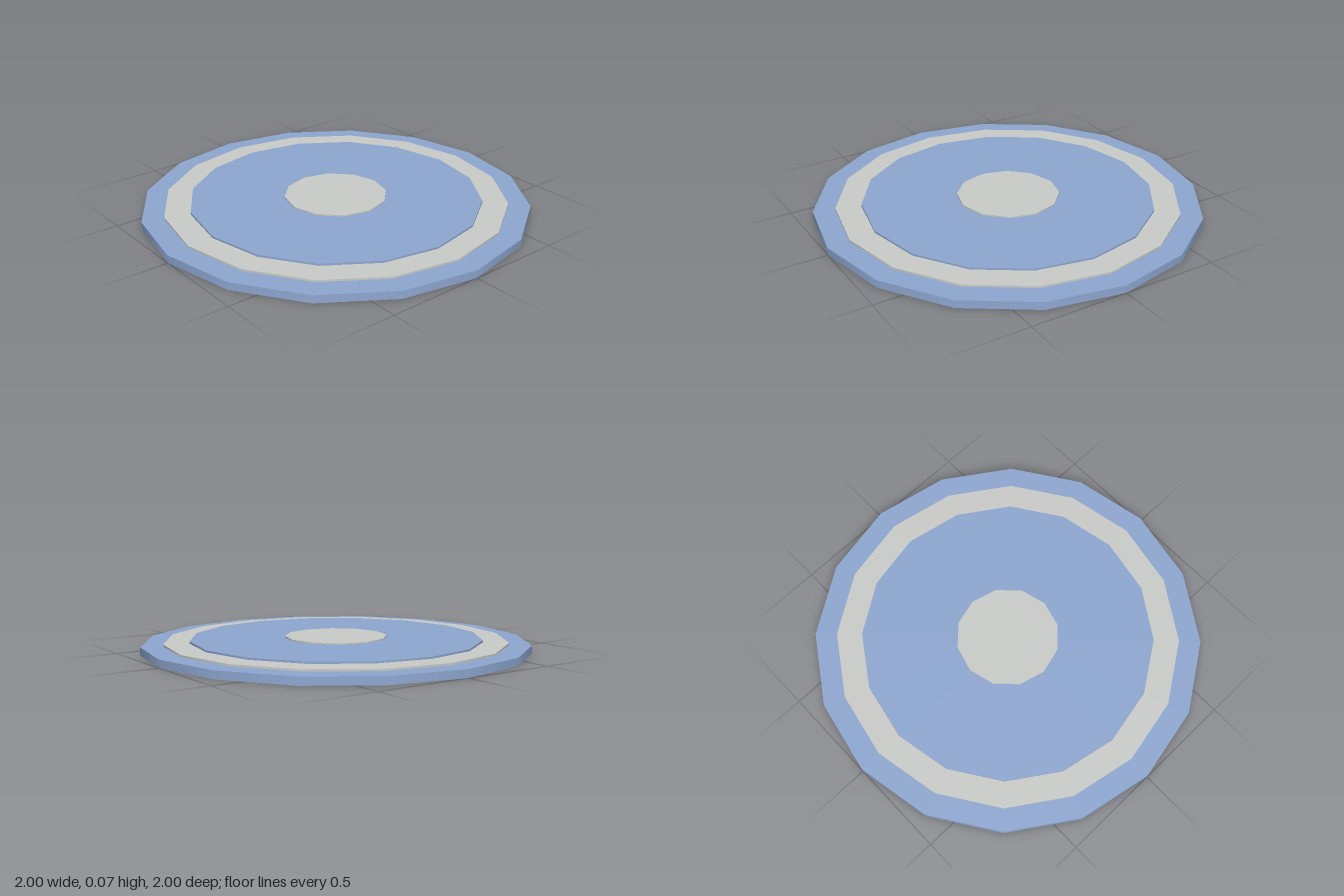
import * as THREE from 'three';

export function createModel() {
  const blue = new THREE.MeshStandardMaterial({ color: 0x8fa8d2 });
  blue.name = 'softBlue';
  const grey = new THREE.MeshStandardMaterial({ color: 0xcbcdca });
  grey.name = 'paleGrey';

  const model = new THREE.Group();
  model.name = 'plate';

  // Stacked discs: name, radius, bottom, top, sides, material
  const layers = [
    ['base', 1, 0, 0.04, 16, blue],
    ['rimBand', 0.887, 0.04, 0.05, 16, grey],
    ['innerDisc', 0.755, 0.05, 0.06, 16, blue],
    ['centreDisc', 0.266, 0.06, 0.067, 12, grey],
  ];
  for (const [name, radius, bottom, top, sides, material] of layers) {
    const disc = new THREE.Mesh(
      new THREE.CylinderGeometry(radius, radius, top - bottom, sides), material);
    disc.position.y = (bottom + top) / 2;
    disc.name = name;
    model.add(disc);
  }
  return model;
}
